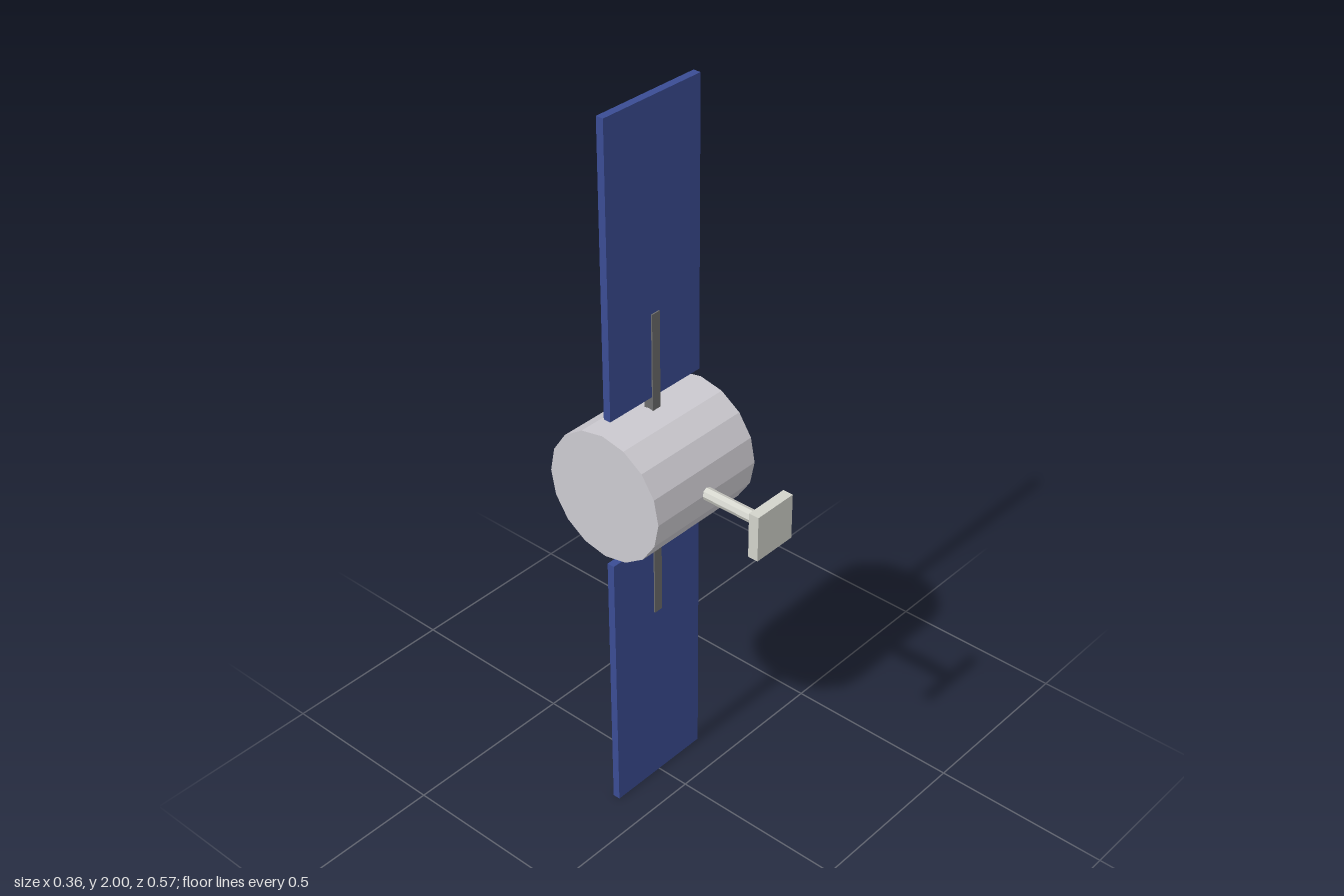
import * as THREE from 'three';

const material = (color) => new THREE.MeshStandardMaterial({ color, flatShading: true });

export function createModel() {
  const model = new THREE.Group();
  model.name = 'satellite';

  const hull = material(0xcccad0);
  const panelBlue = material(0x3a4c94);
  const darkMetal = material(0x6c6c6c);
  const paleMetal = material(0xd2d3cb);

  const midY = 1.0;
  const axisZ = -0.106;

  const add = (name, geometry, mat, x, y, z) => {
    const mesh = new THREE.Mesh(geometry, mat);
    mesh.name = name;
    mesh.position.set(x, y, z);
    model.add(mesh);
    return mesh;
  };

  // Faceted drum lying along x
  const body = new THREE.CylinderGeometry(0.178, 0.178, 0.356, 16).rotateZ(Math.PI / 2);
  add('body', body, hull, 0, midY + 0.002, axisZ);

  // Solar panels and the struts that carry them, above and below
  for (const [side, label] of [[1, 'upper'], [-1, 'lower']]) {
    add(label + 'SolarPanel', new THREE.BoxGeometry(0.32, 0.785, 0.021),
      panelBlue, 0, midY + side * 0.6075, axisZ);
    add(label + 'Strut', new THREE.BoxGeometry(0.027, 0.296, 0.028),
      darkMetal, 0, midY + side * 0.298, axisZ);
  }

  // Forward boom with a square antenna plate just beyond its tip
  const boom = new THREE.CylinderGeometry(0.017, 0.017, 0.2, 8).rotateX(Math.PI / 2);
  add('antennaBoom', boom, paleMetal, 0, midY + 0.002, 0.152);
  add('antennaPlate', new THREE.BoxGeometry(0.127, 0.127, 0.029),
    paleMetal, 0, midY + 0.002, 0.27);

  return model;
}
